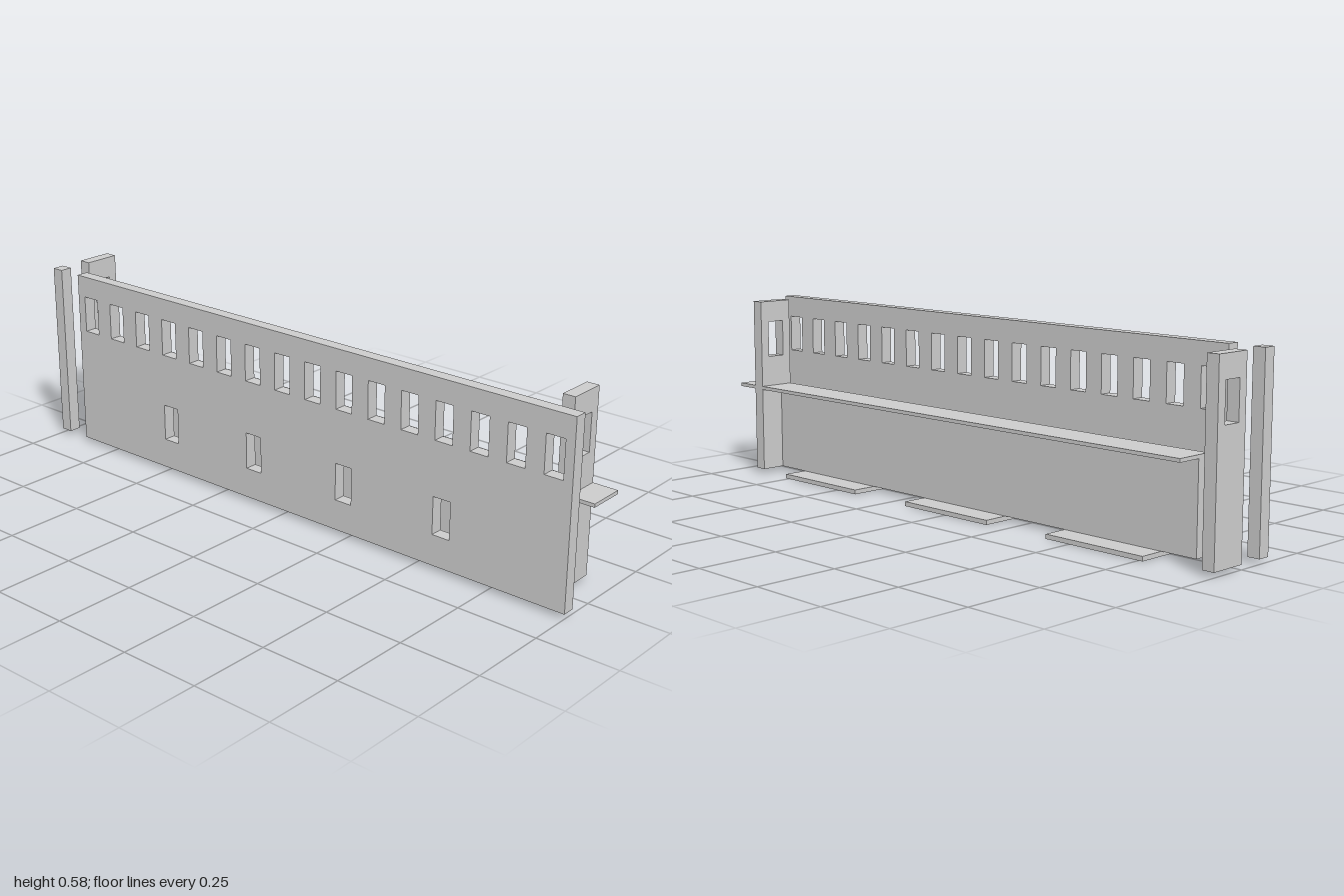
import * as THREE from 'three';

const T = 0.039;                    // board thickness
const BOTTOM = 0.014, TOP = 0.577;  // height range of the uprights
const PITCH = 0.1177;               // spacing of the openings
const HOLE_W = 0.059, HOLE_H = 0.116;

const material = new THREE.MeshStandardMaterial({ color: 0xcccccc, flatShading: true });

function add(group, name, geometry) {
  const mesh = new THREE.Mesh(geometry, material);
  mesh.name = name;
  group.add(mesh);
}

// Box given by its limits on each axis
function block(group, name, [x0, x1], [y0, y1], [z0, z1]) {
  const geometry = new THREE.BoxGeometry(x1 - x0, y1 - y0, z1 - z0);
  geometry.translate((x0 + x1) / 2, (y0 + y1) / 2, (z0 + z1) / 2);
  add(group, name, geometry);
}

// Upright board with rectangular openings, given by their centres
function board(u0, u1, holes) {
  const shape = new THREE.Shape([[u0, BOTTOM], [u1, BOTTOM], [u1, TOP], [u0, TOP]]
    .map(p => new THREE.Vector2(...p)));
  const w = HOLE_W / 2, h = HOLE_H / 2;
  for (const [u, v] of holes) {
    shape.holes.push(new THREE.Path([[u - w, v - h], [u - w, v + h], [u + w, v + h], [u + w, v - h]]
      .map(p => new THREE.Vector2(...p))));
  }
  return new THREE.ExtrudeGeometry(shape, { depth: T, bevelEnabled: false });
}

export function createModel() {
  const group = new THREE.Group();
  group.name = 'slottedWallAssembly';

  // Long wall: a full row of windows above, four openings below
  const holes = [];
  for (let i = -7; i <= 8; i++) holes.push([i * PITCH, 0.451]);
  for (const i of [-4, -1, 2, 5]) holes.push([i * PITCH, 0.167]);
  const wall = board(-0.883, 1, holes);
  wall.rotateY(-Math.PI / 2).translate(-0.117 + T, 0, 0);
  add(group, 'windowWall', wall);

  // Corner post beyond the back end of the wall
  block(group, 'cornerPost', [-0.117, -0.117 + T], [BOTTOM, TOP], [-1, -1 + T]);

  // End boards, each with one window
  for (const [name, z] of [['frontEndBoard', 0.882], ['backEndBoard', -1]]) {
    const end = board(0, 0.117, [[0.058, 0.451]]);
    end.translate(0, 0, z);
    add(group, name, end);
  }

  // Shelf and the low panel carrying it
  block(group, 'shelf', [0, 0.117], [0.284, 0.295], [-0.883, 1]);
  block(group, 'lowerPanel', [0, T], [BOTTOM, 0.284], [-0.883, 0.882]);

  // Foot plates
  for (const z of [-0.588, 0, 0.588]) {
    block(group, 'footPlate', [0, 0.117], [0, BOTTOM], [z - 0.176, z + 0.176]);
  }

  return group;
}
